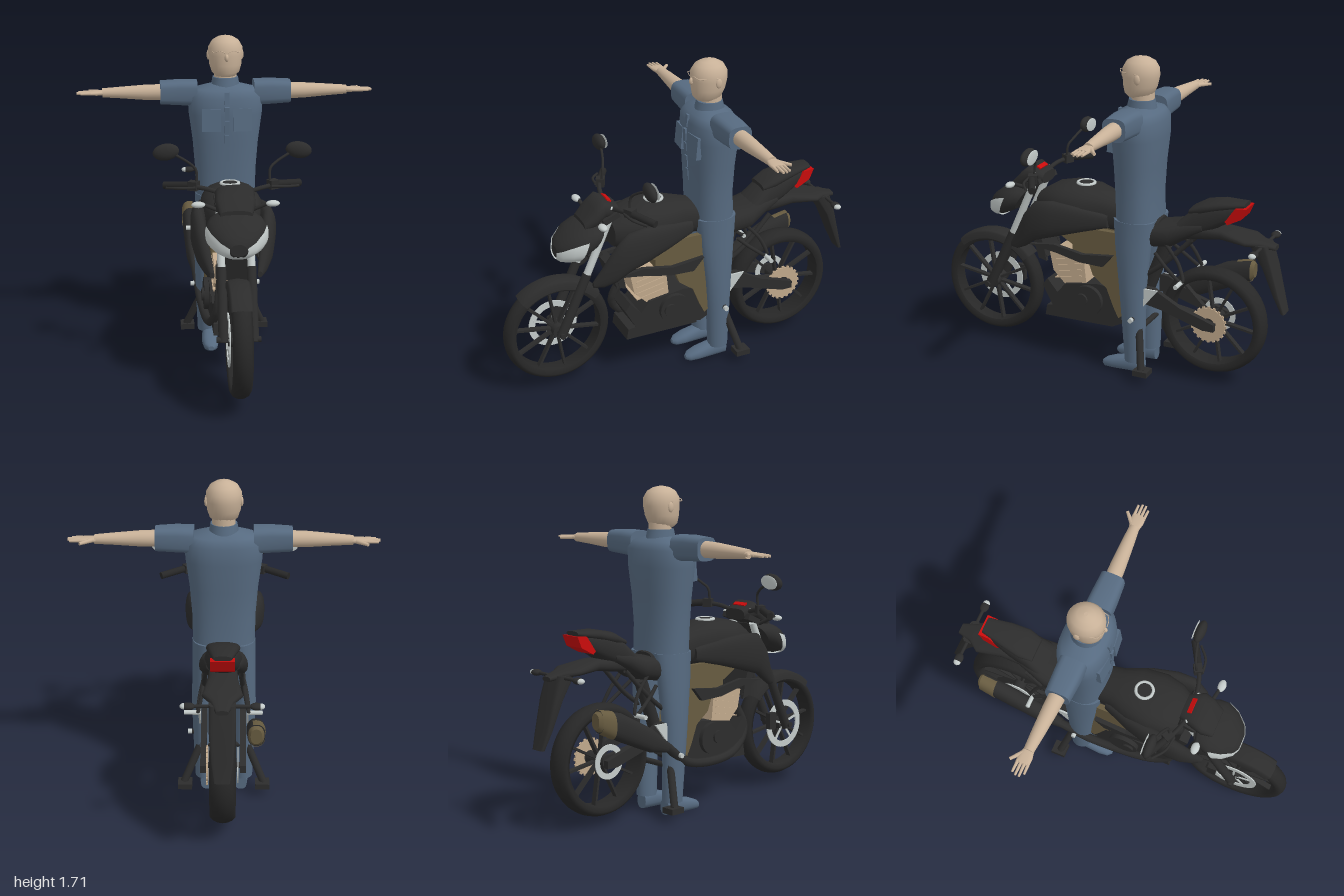
import * as THREE from 'three';

const mat = (name, color, double) => {
  const m = new THREE.MeshStandardMaterial({ color });
  m.name = name;
  if (double) m.side = THREE.DoubleSide;
  return m;
};

// Skin through cross-sections along an axis; rows are [t, cu, cv, ru, rv], u and v being the next two axes in order
function loft(axis, rows, e = 1, n = 20, arc = null) {
  const pos = [], idx = [], k = 'xyz'.indexOf(axis), m = arc ? n + 1 : n;
  const put = (t, u, v) => { const p = []; p[k] = t; p[(k + 1) % 3] = u; p[(k + 2) % 3] = v; pos.push(...p); };
  const pw = (c) => Math.sign(c) * Math.abs(c) ** e;
  const ring = ([t, cu, cv, ru, rv]) => {
    for (let i = 0; i < m; i++) {
      const a = arc ? arc[0] + (arc[1] - arc[0]) * i / n : i / n * Math.PI * 2;
      put(t, cu + ru * pw(Math.cos(a)), cv + rv * pw(Math.sin(a)));
    }
  };
  rows.forEach(ring);
  for (let r = 0; r + 1 < rows.length; r++) for (let i = 0; i < n; i++) {
    const a = r * m + i, b = r * m + (i + 1) % m;
    idx.push(a, b, b + m, a, b + m, a + m);
  }
  if (!arc) [rows[0], rows.at(-1)].forEach((row, end) => {
    const s = pos.length / 3;
    ring(row); put(row[0], row[1], row[2]);
    for (let i = 0; i < n; i++) { const a = s + i, b = s + (i + 1) % n; idx.push(s + n, end ? a : b, end ? b : a); }
  });
  const g = new THREE.BufferGeometry();
  g.setAttribute('position', new THREE.Float32BufferAttribute(pos, 3));
  g.setIndex(idx);
  g.computeVertexNormals();
  return g;
}

// Side outline [z, y] given thickness along x
function plate(pts, x, width) {
  const s = new THREE.Shape(pts.map(([z, y]) => new THREE.Vector2(z, y)));
  return new THREE.ExtrudeGeometry(s, { depth: width, bevelEnabled: false }).rotateY(-Math.PI / 2).translate(x + width / 2, 0, 0);
}
// Lean the rear of the headlight back towards its top
function lean(g) {
  const p = g.attributes.position;
  for (let i = 0; i < p.count; i++) p.setZ(i, p.getZ(i) + (.86 - p.getY(i)) * 3.2 * Math.max(0, .7 - p.getZ(i)));
  g.computeVertexNormals();
  return g;
}
const tube = (pts, r) => new THREE.TubeGeometry(new THREE.CatmullRomCurve3(pts.map(p => new THREE.Vector3(...p))), pts.length * 5, r, 8);
const box = (w, h, d, x, y, z, rx = 0, ry = 0) => new THREE.BoxGeometry(w, h, d).rotateX(rx).rotateY(ry).translate(x, y, z);
const axle = (r, w, x, y, z, n = 24) => new THREE.CylinderGeometry(r, r, w, n).rotateZ(Math.PI / 2).translate(x, y, z);
const ball = (rx, ry, rz, x, y, z) => new THREE.SphereGeometry(1, 20, 14).scale(rx, ry, rz).translate(x, y, z);
function rod(a, b, ra, rb = ra) {
  const A = new THREE.Vector3(...a), d = new THREE.Vector3(...b).sub(A), len = d.length();
  const q = new THREE.Quaternion().setFromUnitVectors(new THREE.Vector3(0, 1, 0), d.normalize());
  return new THREE.CylinderGeometry(rb, ra, len, 14).translate(0, len / 2, 0).applyQuaternion(q).translate(...a);
}
function mirrored(g) {
  const c = g.clone().scale(-1, 1, 1);
  const src = g.index ? Array.from(g.index.array) : Array.from({ length: g.attributes.position.count }, (_, i) => i);
  for (let i = 0; i < src.length; i += 3) [src[i], src[i + 1]] = [src[i + 1], src[i]];
  c.setIndex(src);
  return c;
}
const ringDisc = (r, hole, w, x, y, z) => {
  const s = new THREE.Shape().absarc(0, 0, r, 0, Math.PI * 2);
  s.holes.push(new THREE.Path().absarc(0, 0, hole, 0, Math.PI * 2, true));
  return new THREE.ExtrudeGeometry(s, { depth: w, bevelEnabled: false, curveSegments: 20 }).rotateY(-Math.PI / 2).translate(x + w / 2, y, z);
};

export function createModel() {
  const root = new THREE.Group();
  const black = mat('bodyBlack', 0x2c2c2c, true), rubber = mat('rubber', 0x272727), silver = mat('silver', 0xc3cac9, true);
  const olive = mat('frameOlive', 0x675b40, true), tan = mat('engineTan', 0xc0a88b), red = mat('lampRed', 0xc90c0c);
  const cloth = mat('clothBlue', 0x566a80), skin = mat('skin', 0xc8b198);
  let target = root;
  const part = (name) => { target = new THREE.Group(); target.name = name; root.add(target); };
  const add = (name, g, m) => { const o = new THREE.Mesh(g, m); o.name = name; target.add(o); };
  const both = (name, g, m) => { add(name + 'Left', g, m); add(name + 'Right', mirrored(g), m); };

  // Wheels
  const wheel = (name, z, hw) => {
    part(name);
    const R = 0.292, y = 0.345;
    const prof = [[.235, -hw * .8], [.26, -hw], [.278, -hw * .75], [.289, -hw * .35], [R, 0], [.289, hw * .35], [.278, hw * .75], [.26, hw], [.235, hw * .8], [.235, -hw * .8]];
    add('tyre', new THREE.LatheGeometry(prof.map(p => new THREE.Vector2(...p)), 56).rotateZ(Math.PI / 2).translate(0, y, z), rubber);
    add('hub', axle(.035, hw * 2.1, 0, y, z), black);
    add('axle', axle(.015, .22, 0, y, z, 12), black);
    for (let i = 0; i < 10; i++) {
      const a = (i + .25) * Math.PI / 5;
      add('spoke', new THREE.BoxGeometry(.03, .21, .012).translate(0, .135, 0).rotateX(a).translate(0, y, z), black);
    }
  };
  wheel('frontWheel', .71, .05);
  add('frontDisc', ringDisc(.135, .1, .006, -.052, .345, .71), silver);
  for (let i = 0; i < 5; i++) add('discArm', new THREE.BoxGeometry(.006, .11, .012).translate(-.05, .06, 0).rotateX(i * Math.PI * .4).translate(0, .345, .71), silver);
  add('frontCaliper', box(.03, .09, .05, -.07, .38, .59), black);
  wheel('rearWheel', -.6, .065);
  add('sprocket', ringDisc(.092, .035, .01, .08, .345, -.6), tan);
  for (let i = 0; i < 20; i++) add('tooth', new THREE.BoxGeometry(.008, .014, .014).translate(.08, .093, 0).rotateX(i * Math.PI / 10).translate(0, .345, -.6), tan);
  add('rearDisc', ringDisc(.09, .06, .006, -.075, .345, -.6), silver);

  // Front end
  part('frontEnd');
  const fender = [[.262, -.06], [.296, -.056], [.303, -.045], [.31, 0], [.303, .045], [.296, .056], [.262, .06]].map(p => new THREE.Vector2(...p));
  add('frontFender', new THREE.LatheGeometry(fender, 24, .85, 1.6).rotateZ(Math.PI / 2).translate(0, .335, .71), black);
  both('forkLower', rod([.075, .33, .71], [.075, .67, .555], .026, .024), black);
  both('forkUpper', rod([.075, .64, .568], [.075, .95, .43], .02), silver);
  add('lowerYoke', box(.13, .04, .07, 0, .76, .5, .4), black);
  add('upperYoke', box(.2, .03, .09, 0, .97, .42, .4), black);
  add('radiator', box(.17, .14, .05, 0, .62, .39, .3), black);

  // Headlight and dash
  add('headlightShell', lean(loft('z', [[.5, 0, .868, .13, .07], [.54, 0, .862, .15, .086], [.58, 0, .853, .153, .093], [.63, 0, .84, .13, .08], [.68, 0, .815, .085, .055], [.702, 0, .8, .04, .03]], .85)), black);
  add('headlightLens', lean(loft('z', [[.575, 0, .851, .157, .098], [.63, 0, .836, .135, .085], [.684, 0, .812, .09, .06], [.707, 0, .798, .045, .033]], .85, 24, [Math.PI * .9, Math.PI * 2.1])), silver);
  add('dashCowl', loft('z', [[.37, 0, .995, .07, .03], [.45, 0, 1.015, .1, .05], [.5, 0, .975, .1, .05], [.56, 0, .935, .08, .025]], .7), black);
  add('dashDisplay', box(.085, .008, .025, 0, 1.047, .41, -.46), red);
  both('dashBolt', ball(.014, .01, .014, .075, 1.02, .415), silver);
  both('frontSignalStem', rod([.08, .94, .48], [.16, .98, .5], .01), black);
  both('frontSignal', ball(.035, .016, .022, .185, .98, .505), silver);

  // Handlebar, levers and mirrors
  part('handlebar');
  add('bar', tube([[-.25, 1.04, .34], [-.14, 1.03, .39], [0, 1.0, .41], [.14, 1.03, .39], [.25, 1.04, .34]], .012), black);
  both('grip', rod([.22, 1.04, .355], [.345, 1.025, .285], .019), rubber);
  both('switchBox', box(.05, .045, .045, .2, 1.04, .36, 0, .5), black);
  both('lever', tube([[.19, 1.035, .39], [.27, 1.03, .375], [.335, 1.02, .325]], .007), black);
  both('mirrorStem', tube([[.185, 1.04, .36], [.188, 1.12, .35], [.22, 1.15, .335], [.29, 1.19, .315]], .007), black);
  const tilt = (g) => g.rotateZ(-.15).translate(.335, 1.203, .31);
  both('mirror', tilt(ball(.067, .043, .028, 0, 0, 0)), black);
  both('mirrorGlass', tilt(ball(.058, .036, .004, 0, 0, -.027)), silver);

  // Tank, shrouds, seat and tail
  part('bodywork');
  add('tank', loft('z', [[-.3, 0, .82, .07, .045], [-.15, 0, .84, .09, .08], [0, 0, .865, .11, .1], [.1, 0, .87, .15, .12], [.22, 0, .865, .165, .127], [.32, 0, .86, .145, .11], [.4, 0, .85, .095, .07]], .8), black);
  add('fillerCap', new THREE.TorusGeometry(.045, .009, 8, 24).rotateX(Math.PI / 2).translate(0, .99, .145), silver);
  add('fillerLid', new THREE.CylinderGeometry(.038, .038, .01, 24).translate(0, .99, .145), black);
  both('shroud', loft('z', [[-.03, .1, .83, .02, .035], [.12, .145, .83, .033, .07], [.26, .17, .82, .042, .1], [.36, .178, .8, .04, .11], [.43, .165, .735, .034, .095], [.49, .14, .665, .025, .055], [.54, .12, .622, .012, .015]], .85), black);
  both('shroudFin', plate([[.42, .65], [.27, .67], [.1, .64], [-.08, .66], [-.02, .59], [.12, .595], [.25, .625]], .14, .025), black);
  add('seat', loft('z', [[-.55, 0, .87, .085, .03], [-.47, 0, .845, .105, .05], [-.38, 0, .8, .125, .065], [-.25, 0, .775, .11, .065], [-.12, 0, .78, .09, .06]], .75), black);
  add('tail', loft('z', [[-.73, 0, .968, .05, .03], [-.68, 0, .953, .062, .05], [-.6, 0, .925, .078, .072], [-.5, 0, .885, .09, .08], [-.4, 0, .81, .105, .06], [-.25, 0, .75, .1, .035]], .75), black);
  add('rearSeatPad', loft('z', [[-.765, 0, 1.007, .045, .013], [-.64, 0, .99, .072, .028], [-.54, 0, .965, .085, .032], [-.47, 0, .94, .07, .016]], .8), black);
  add('tailLight', plate([[-.68, .9], [-.665, .915], [-.72, .993], [-.78, .998], [-.755, .94]], 0, .12), red);
  add('rearFender', loft('z', [[-.93, 0, .8, .03, .012], [-.85, 0, .815, .055, .018], [-.79, 0, .825, .1, .02], [-.65, 0, .84, .075, .03], [-.45, 0, .82, .07, .04]], .7), black);
  add('mudflap', loft('y', [[.455, -.985, 0, .01, .04], [.55, -.95, 0, .018, .055], [.7, -.9, 0, .03, .066], [.815, -.845, 0, .05, .066]], .4), black);
  both('rearSignalStem', rod([.03, .805, -.865], [.15, .805, -.865], .009), black);
  both('rearSignal', ball(.032, .017, .024, .163, .805, -.865), black);
  both('rearSignalLens', ball(.02, .014, .02, .184, .805, -.865), silver);

  // Frame and swingarm
  part('chassis');
  both('frameSpar', plate([[.28, .74], [.1, .78], [-.1, .78], [-.25, .71], [-.22, .4], [-.1, .3], [-.07, .36], [-.03, .46], [.05, .52], [.08, .6], [.14, .66]], .105, .03), olive);
  add('frameCross', box(.2, .12, .12, 0, .67, .12), olive);
  both('swingarm', plate([[-.12, .51], [-.3, .5], [-.45, .42], [-.64, .36], [-.64, .32], [-.58, .32], [-.35, .39], [-.14, .43]], .1, .03), black);
  both('subframe', tube([[.09, .55, -.22], [.1, .64, -.34], [.09, .8, -.5]], .013), black);
  both('pegHanger', tube([[.1, .7, -.3], [.12, .63, -.38], [.13, .57, -.47], [.11, .66, -.44], [.1, .76, -.36]], .01), black);
  both('passengerPeg', rod([.12, .57, -.46], [.2, .57, -.46], .012), silver);
  both('heelPlate', plate([[-.2, .5], [-.33, .5], [-.25, .4]], .125, .01), silver);
  both('riderPeg', rod([.1, .33, -.2], [.17, .33, -.2], .013), black);
  both('riderPegEnd', rod([.17, .33, -.2], [.19, .33, -.2], .013), silver);
  add('shock', rod([0, .45, -.22], [0, .72, -.32], .035), black);
  both('standLeg', rod([.1, .32, -.21], [.21, .07, -.275], .02), black);
  both('standFoot', box(.075, .03, .08, .205, .06, -.28), black);
  add('standCross', rod([-.13, .27, -.23], [.13, .27, -.23], .015), black);

  // Engine and exhaust
  part('engine');
  add('crankcase', plate([[.3, .3], [.36, .41], [.33, .45], [.27, .38], [.22, .44], [.02, .47], [-.12, .45], [-.18, .3], [-.08, .25]], 0, .22), black);
  add('bellyPan', plate([[.35, .23], [.34, .29], [.1, .32], [-.07, .27], [-.06, .235]], 0, .2), black);
  both('sideCover', axle(.085, .04, .115, .37, .08), black);
  both('coverCap', axle(.035, .015, .14, .375, .11, 16), black);
  add('cylinder', plate([[.32, .6], [.3, .5], [.22, .42], [.1, .44], [.12, .62], [.2, .63]], 0, .19), tan);
  for (let i = 0; i < 4; i++) add('fin', box(.2, .006, .16, 0, .475 + i * .035, .21, .2), tan);
  both('radiatorDuct', plate([[.4, .62], [.36, .62], [.345, .54], [.38, .55]], .08, .02), black);
  add('headerPipe', tube([[-.06, .52, .31], [-.08, .38, .36], [-.11, .27, .25], [-.14, .27, -.1], [-.16, .4, -.3]], .024), black);
  add('muffler', loft('z', [[-.74, -.165, .585, .043, .058], [-.6, -.165, .535, .045, .075], [-.4, -.16, .44, .042, .065], [-.28, -.155, .385, .025, .03]], .85), black);
  add('mufflerSleeve', loft('z', [[-.745, -.165, .587, .045, .06], [-.66, -.165, .557, .048, .072]], .85, 16, [Math.PI * .4, Math.PI * 1.6]), olive);
  add('mufflerEnd', loft('z', [[-.76, -.165, .588, .028, .04], [-.738, -.165, .585, .041, .055]], .85), olive);

  // Rider's clothing
  part('riderClothes');
  add('shirt', loft('y', [[.85, -.175, 0, .115, .16], [1.0, -.17, 0, .115, .163], [1.15, -.17, 0, .122, .175], [1.3, -.172, 0, .134, .195], [1.39, -.175, 0, .128, .2], [1.43, -.175, 0, .105, .165], [1.455, -.172, 0, .06, .07]], .85, 32), cloth);
  add('collar', loft('y', [[1.42, -.175, 0, .085, .08], [1.49, -.175, 0, .068, .068]], 1, 24), cloth);
  both('sleeve', loft('x', [[.15, 1.405, -.178, .067, .073], [.24, 1.408, -.178, .066, .07], [.345, 1.408, -.18, .06, .064]], .6), cloth);
  both('pocket', box(.1, .12, .03, .08, 1.28, -.053, -.09, .1), cloth);
  for (let i = 0; i < 5; i++) add('placket', box(.025, .065, .012, 0, 1.09 + i * .076, [-.053, -.048, -.043, -.039, -.048][i], i < 4 ? .06 : -.12), cloth);
  add('hips', loft('y', [[.76, -.175, 0, .1, .14], [.86, -.175, 0, .117, .163]], .85), cloth);
  both('trouserLeg', loft('y', [[.07, -.19, .1, .056, .052], [.3, -.185, .107, .066, .055], [.5, -.18, .11, .077, .058], [.72, -.175, .098, .1, .066], [.86, -.175, .085, .113, .078]]), cloth);
  both('shoe', loft('z', [[-.235, .09, .042, .033, .04], [-.16, .09, .046, .04, .046], [-.07, .09, .034, .045, .034], [-.02, .09, .024, .036, .024], [0, .09, .02, .015, .012]], .85), cloth);

  // Head, arms and hands
  part('riderBody');
  add('neck', rod([0, 1.43, -.18], [0, 1.56, -.18], .06), skin);
  add('head', loft('y', [[1.5, -.155, 0, .055, .05], [1.52, -.16, 0, .077, .073], [1.56, -.166, 0, .09, .085], [1.61, -.17, 0, .097, .09], [1.65, -.17, 0, .096, .09], [1.685, -.17, 0, .076, .07], [1.703, -.17, 0, .045, .04], [1.71, -.17, 0, .01, .01]], 1, 28), skin);
  add('nose', ball(.011, .02, .014, 0, 1.605, -.073), skin);
  both('ear', ball(.009, .026, .017, .089, 1.605, -.185), skin);
  both('glassesBrow', tube([[.008, 1.632, -.066], [.035, 1.642, -.068], [.065, 1.632, -.085]], .002), skin);
  both('glassesArm', rod([.065, 1.632, -.085], [.092, 1.632, -.18], .002), skin);
  both('arm', loft('x', [[.3, 1.408, -.18, .044, .044], [.42, 1.408, -.185, .041, .041], [.55, 1.408, -.19, .031, .034], [.65, 1.407, -.194, .024, .027]]), skin);
  both('palm', loft('x', [[.63, 1.407, -.194, .014, .024], [.68, 1.407, -.195, .013, .036], [.72, 1.406, -.196, .01, .036]], .8), skin);
  for (let i = 0; i < 4; i++) {
    const z = -.222 + i * .018, tip = [.775, .785, .785, .765][i];
    both('finger', rod([.71, 1.407, z], [tip, 1.406, z * 1.08 + .016], .009, .006), skin);
  }
  both('thumb', rod([.665, 1.407, -.215], [.72, 1.405, -.262], .012, .008), skin);
  return root;
}
